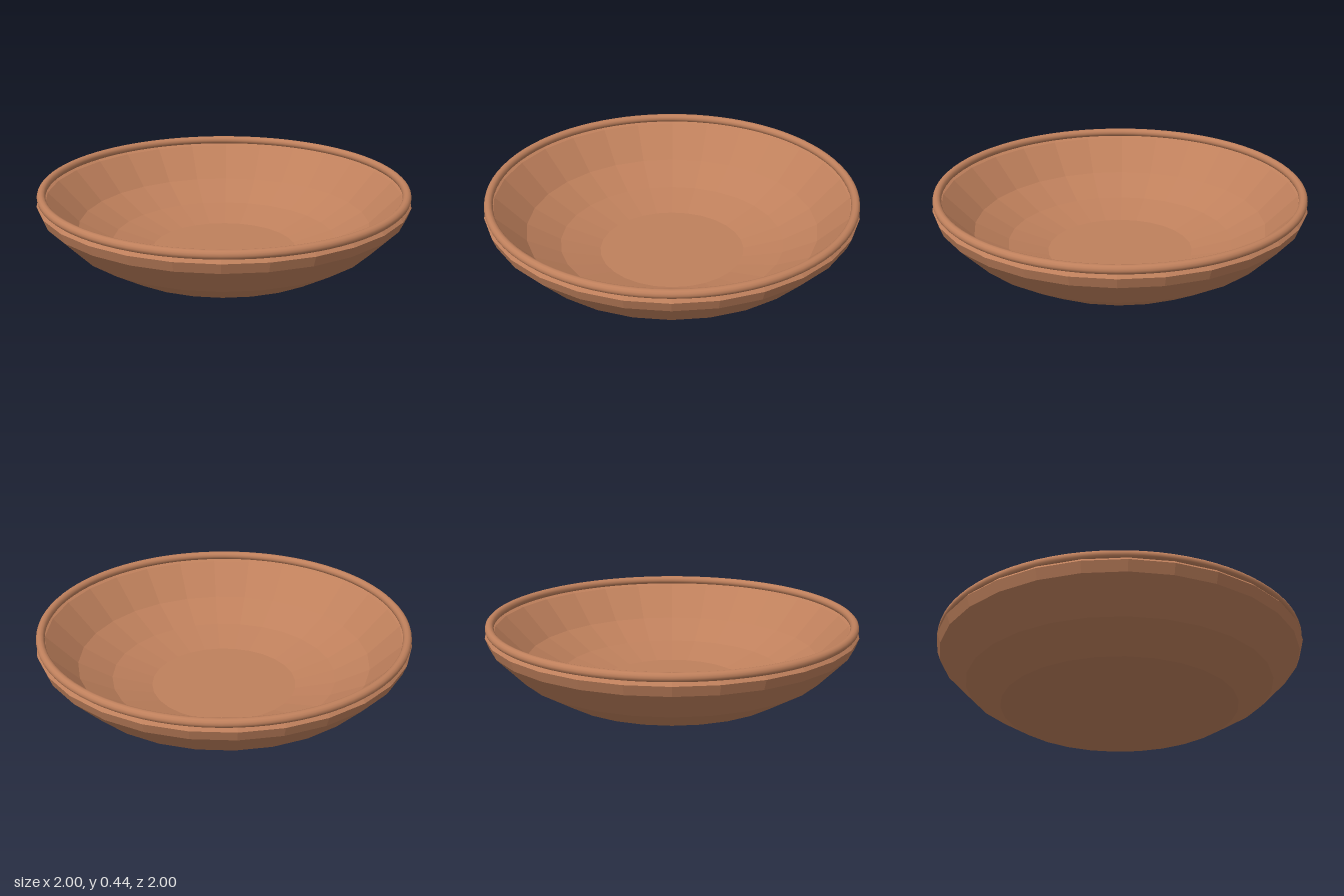
import * as THREE from 'three';

export function createModel() {
  const model = new THREE.Group();
  model.name = 'bowl';

  const clay = new THREE.MeshStandardMaterial({ color: 0xbf805c, flatShading: true });
  clay.name = 'terracotta';
  const smoothClay = new THREE.MeshStandardMaterial({ color: 0xbf805c });
  smoothClay.name = 'smooth terracotta';

  // Faceted wall: up the outside, over the lip and down the inside
  const profile = [
    [0, 0], [0.43, 0], [0.64, 0.055], [0.83, 0.17], [0.98, 0.325], [1, 0.38],
    [0.985, 0.398], [0.955, 0.385],
    [0.79, 0.22], [0.61, 0.125], [0.395, 0.07], [0, 0.07],
  ].map(([r, y]) => new THREE.Vector2(r, y));
  const wall = new THREE.Mesh(new THREE.LatheGeometry(profile, 28), clay);
  wall.name = 'bowlWall';
  model.add(wall);

  // Smooth rolled rim resting on the lip
  const rim = new THREE.Mesh(new THREE.TorusGeometry(0.973, 0.023, 12, 84), smoothClay);
  rim.name = 'rim';
  rim.rotation.x = Math.PI / 2;
  rim.position.y = 0.417;
  model.add(rim);

  return model;
}
